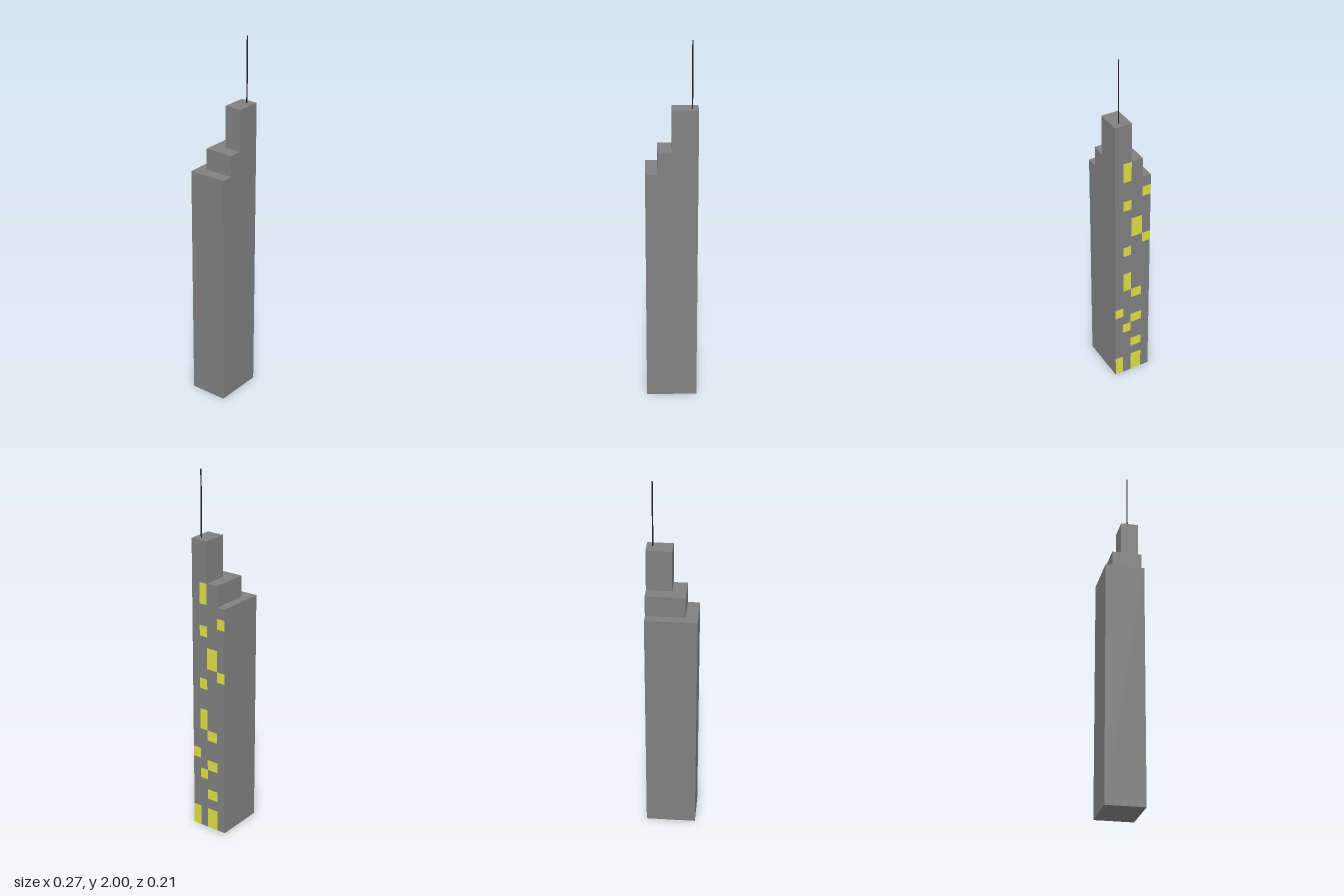
import * as THREE from 'three';

export function createModel() {
  const model = new THREE.Group();
  const wall = new THREE.MeshStandardMaterial({ color: 0x808080 });
  const lit = new THREE.MeshStandardMaterial({ color: 0xdede44 });
  const dark = new THREE.MeshStandardMaterial({ color: 0x222222 });
  const right = 0.136, front = 0.104;

  const add = (name, geometry, material, x, y, z) => {
    const mesh = new THREE.Mesh(geometry, material);
    mesh.name = name;
    mesh.position.set(x, y, z);
    model.add(mesh);
    return mesh;
  };

  // Stacked tiers, all flush with the +x and +z walls
  const tiers = [
    ['lowerTower', -0.137, -0.105, 0, 1.308],
    ['middleTier', -0.073, -0.056, 1.308, 1.423],
    ['upperTier', 0.001, 0.009, 1.423, 1.648],
  ];
  for (const [name, x0, z0, y0, y1] of tiers) {
    add(name, new THREE.BoxGeometry(right - x0, y1 - y0, front - z0), wall,
      (right + x0) / 2, (y0 + y1) / 2, (front + z0) / 2);
  }

  // Lit windows on the +x wall: [first row, last row] per column, front to back
  const columnEdges = [0.104, 0.056, 0.009, -0.056, -0.105];
  const row = 1.308 / 22;
  const columns = [
    [[0, 2], [7, 8]],
    [[5, 6], [10, 12], [14, 15], [19, 20], [22, 23.93]],
    [[0, 2], [3, 4], [6, 7], [9, 10], [16, 18]],
    [[15, 16], [20, 21]],
  ];
  columns.forEach((windows, i) => {
    const z0 = columnEdges[i + 1], z1 = columnEdges[i];
    for (const [a, b] of windows) {
      add('litWindow', new THREE.PlaneGeometry(z1 - z0, (b - a) * row), lit,
        right + 0.0008, (a + b) / 2 * row, (z0 + z1) / 2).rotation.y = Math.PI / 2;
    }
  });

  // Rooftop mast
  add('antenna', new THREE.CylinderGeometry(0.0035, 0.0035, 0.352, 8), dark, 0.104, 1.824, 0.066);

  return model;
}
